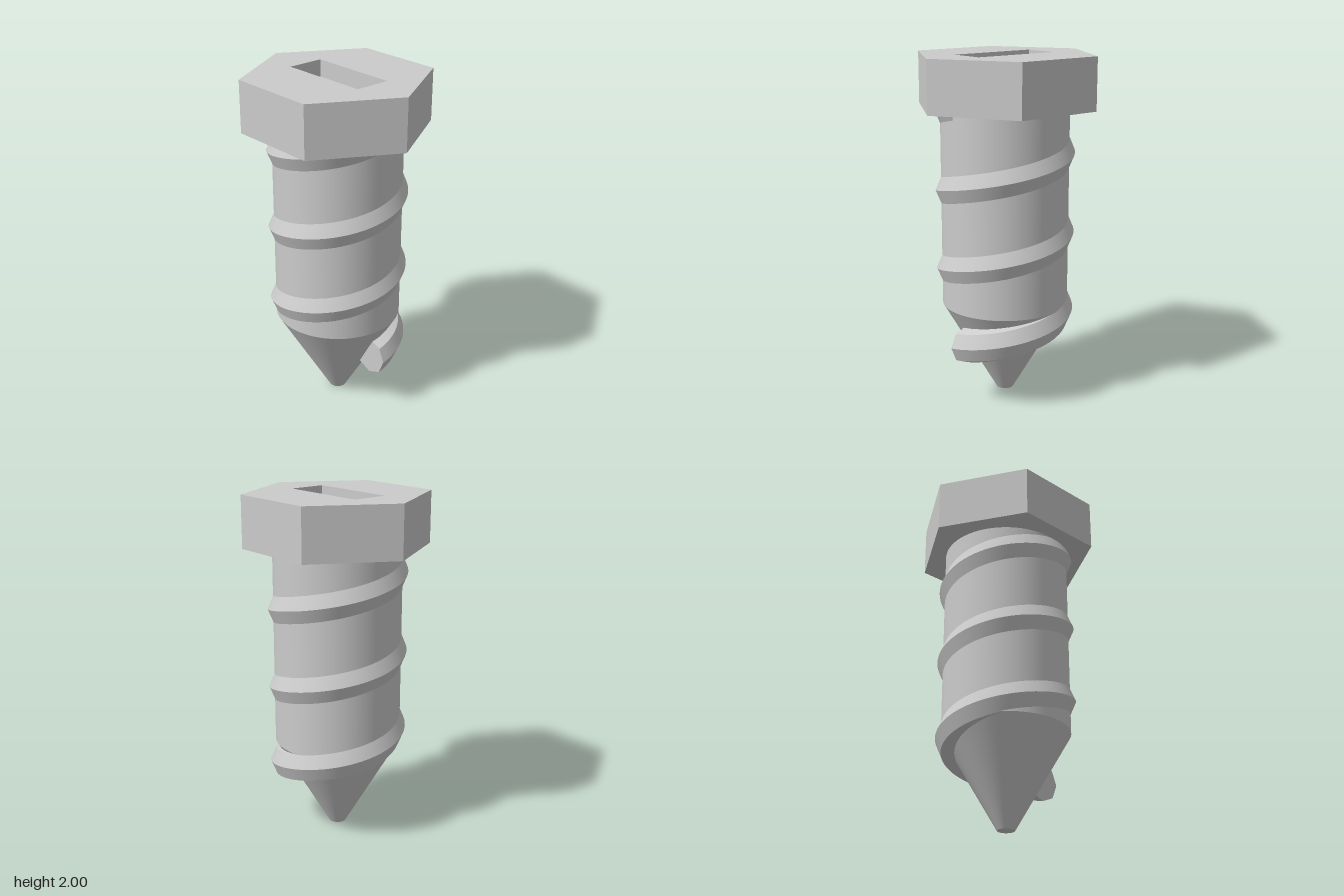
import * as THREE from 'three';

const material = new THREE.MeshStandardMaterial({ color: 0xcccccc });
const HEX_RADIUS = 0.535, HEAD_BOTTOM = 1.7, HEAD_TOP = 2;
const SLOT_W = 0.54, SLOT_D = 0.216, SLOT_DEPTH = 0.1;
const SHAFT_RADIUS = 0.368, TIP_RADIUS = 0.05, TIP_HEIGHT = 0.55;
const THREAD = { radius: 0.285, section: 0.115, sides: 8, start: 0.34, pitch: 0.465, turns: 3, steps: 72 };

function part(name, geometry, x = 0, y = 0, z = 0) {
  const mesh = new THREE.Mesh(geometry, material);
  mesh.name = name;
  mesh.position.set(x, y, z);
  return mesh;
}

// Hexagonal prism with a rectangular socket
function headGeometry() {
  const hexagon = [];
  for (let i = 0; i < 6; i++) {
    const a = (i * Math.PI) / 3;
    hexagon.push(new THREE.Vector2(HEX_RADIUS * Math.cos(a), HEX_RADIUS * Math.sin(a)));
  }
  const shape = new THREE.Shape(hexagon);
  const w = SLOT_W / 2, d = SLOT_D / 2;
  shape.holes.push(new THREE.Path([
    new THREE.Vector2(-w, -d), new THREE.Vector2(-w, d),
    new THREE.Vector2(w, d), new THREE.Vector2(w, -d),
  ]));
  return new THREE.ExtrudeGeometry(shape, { depth: HEAD_TOP - HEAD_BOTTOM, bevelEnabled: false })
    .rotateX(-Math.PI / 2);
}

// Octagonal section swept up a helix; each facet has its own vertices to keep its edges crisp
function threadGeometry() {
  const { radius, section, sides, start, pitch, turns, steps } = THREAD;
  const rows = turns * steps;
  const positions = [], indices = [];
  for (let j = 0; j < sides; j++) {
    const base = positions.length / 3;
    for (let i = 0; i <= rows; i++) {
      const theta = (i / steps) * Math.PI * 2;
      for (const k of [j, j + 1]) {
        const a = (k / sides) * Math.PI * 2;
        const r = radius + section * Math.cos(a);
        const y = start + (pitch * i) / steps + section * Math.sin(a);
        positions.push(r * Math.cos(theta), y, -r * Math.sin(theta));
      }
      if (i < rows) {
        const p = base + i * 2;
        indices.push(p, p + 2, p + 3, p, p + 3, p + 1);
      }
    }
  }
  const geometry = new THREE.BufferGeometry();
  geometry.setAttribute('position', new THREE.Float32BufferAttribute(positions, 3));
  geometry.setIndex(indices);
  geometry.computeVertexNormals();
  return geometry;
}

export function createModel() {
  const screw = new THREE.Group();
  screw.name = 'screw';

  // Head and socket floor
  screw.add(part('head', headGeometry(), 0, HEAD_BOTTOM));
  screw.add(part('socketFloor', new THREE.PlaneGeometry(SLOT_W, SLOT_D).rotateX(-Math.PI / 2), 0, HEAD_TOP - SLOT_DEPTH));

  // Shaft and blunt conical tip
  const shaftHeight = HEAD_BOTTOM - TIP_HEIGHT;
  screw.add(part('shaft', new THREE.CylinderGeometry(SHAFT_RADIUS, SHAFT_RADIUS, shaftHeight, 72, 1, true),
    0, TIP_HEIGHT + shaftHeight / 2));
  screw.add(part('tip', new THREE.CylinderGeometry(SHAFT_RADIUS, TIP_RADIUS, TIP_HEIGHT, 72), 0, TIP_HEIGHT / 2));

  // Thread with flat ends
  const thread = new THREE.Group();
  thread.name = 'thread';
  const { radius, section, sides, start, pitch, turns } = THREAD;
  thread.add(part('threadRidge', threadGeometry()));
  thread.add(part('threadStart', new THREE.CircleGeometry(section, sides), radius, start));
  thread.add(part('threadEnd', new THREE.CircleGeometry(section, sides).rotateY(Math.PI), radius, start + pitch * turns));
  screw.add(thread);

  return screw;
}
